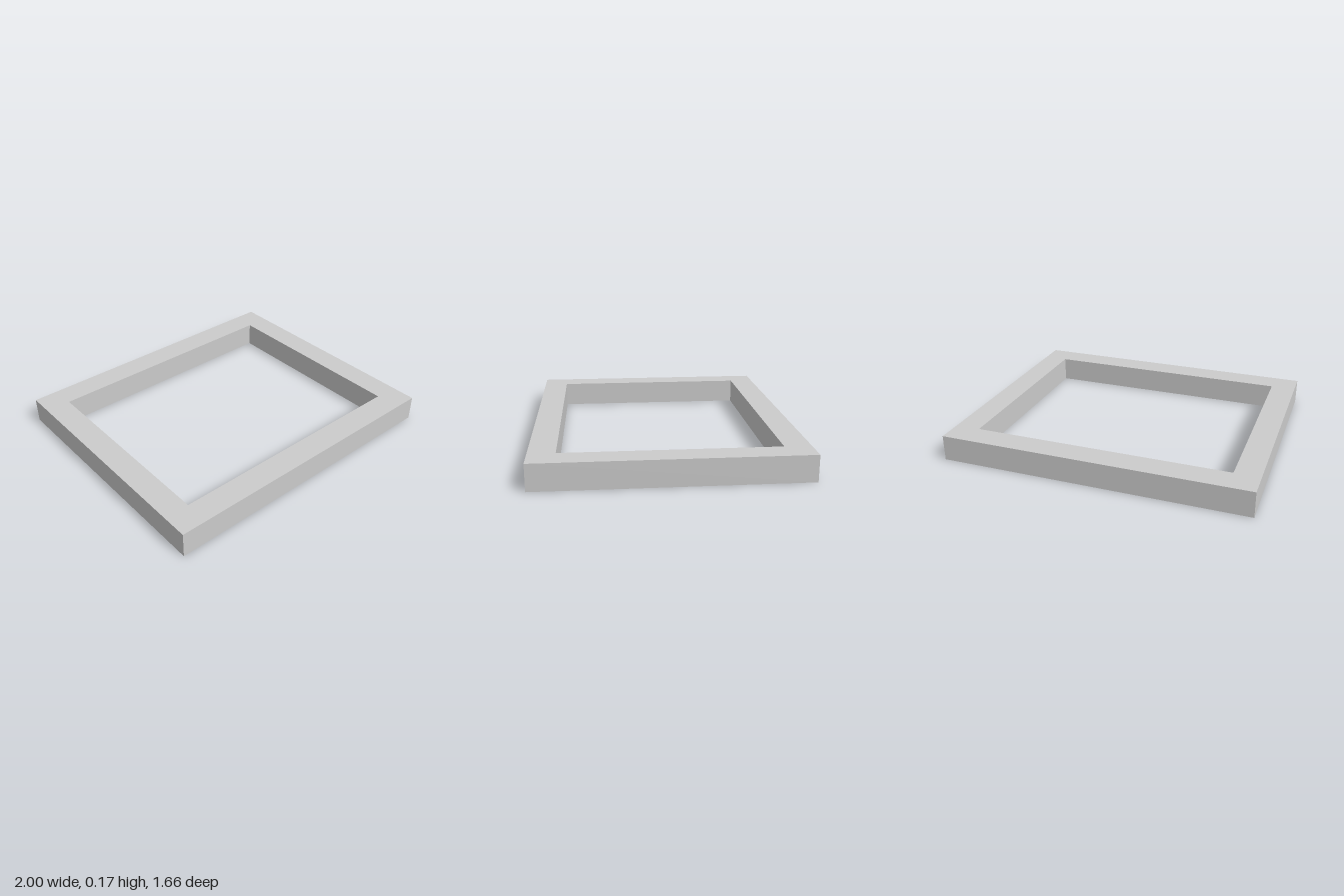
import * as THREE from 'three';

const WIDTH = 2, DEPTH = 1.663, HEIGHT = 0.167;
const INNER_WIDTH = 1.672, INNER_DEPTH = 1.331;

// Rectangle outline centred on the origin
function rectangle(PathType, w, h) {
  return new PathType([[-1, -1], [1, -1], [1, 1], [-1, 1]]
    .map(([x, y]) => new THREE.Vector2(x * w / 2, y * h / 2)));
}

export function createModel() {
  const group = new THREE.Group();
  group.name = 'rectangularFrame';

  // Square-section frame with an open centre, laid flat on the ground
  const outline = rectangle(THREE.Shape, WIDTH, DEPTH);
  outline.holes.push(rectangle(THREE.Path, INNER_WIDTH, INNER_DEPTH));
  const geometry = new THREE.ExtrudeGeometry(outline, { depth: HEIGHT, bevelEnabled: false });
  geometry.rotateX(-Math.PI / 2);

  const frame = new THREE.Mesh(geometry, new THREE.MeshStandardMaterial({ color: 0xcccccc }));
  frame.name = 'frame';
  group.add(frame);
  return group;
}
